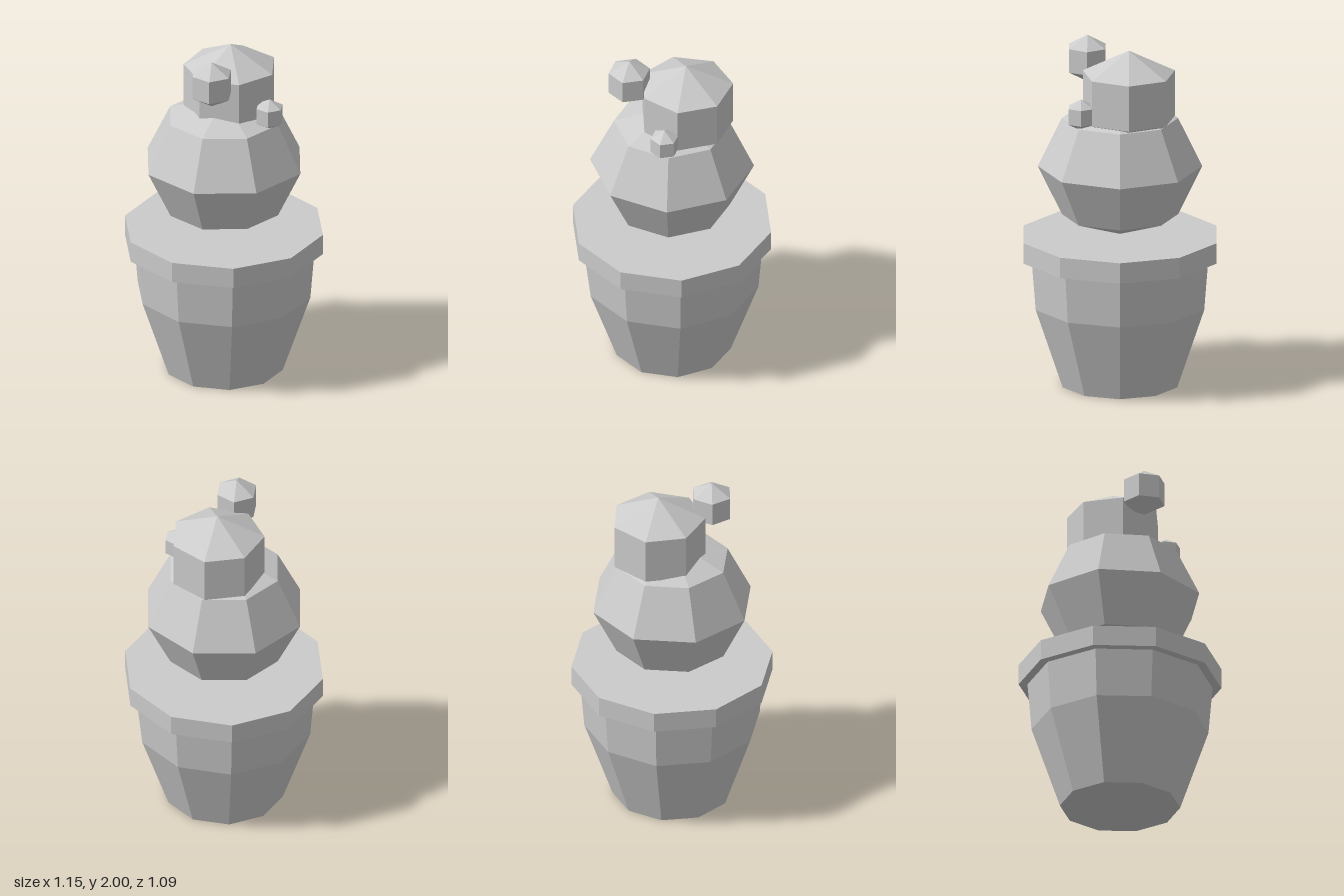
import * as THREE from 'three';

export function createModel() {
  const group = new THREE.Group();
  const material = new THREE.MeshStandardMaterial({ color: 0xcccccc, flatShading: true });

  const add = (name, geometry) => {
    const mesh = new THREE.Mesh(geometry, material);
    mesh.name = name;
    group.add(mesh);
    return mesh;
  };

  // Ten-sided turned part with a corner on the x axis; profile runs bottom to top
  const turned = (name, profile) =>
    add(name, new THREE.LatheGeometry(profile.map(([r, y]) => new THREE.Vector2(r, y)), 10, Math.PI / 2));

  // Coarse faceted ball with a corner towards +x
  const ball = (name, radius, height, sides, rings, x, y, z) => {
    const mesh = add(name, new THREE.SphereGeometry(1, sides, rings, Math.PI));
    mesh.scale.set(radius, height, radius);
    mesh.position.set(x, y, z);
  };

  // Pot: tapered body and overhanging rim, filled level with the top
  turned('potBody', [[0, 0], [0.34, 0], [0.5, 0.47], [0.523, 0.75]]);
  turned('potRim', [[0, 0.75], [0.573, 0.75], [0.573, 0.87], [0, 0.87]]);

  // Cactus: two stacked segments and two small buds
  ball('lowerSegment', 0.464, 0.4, 8, 4, 0, 1.273, 0);
  ball('upperSegment', 0.308, 0.266, 7, 3, 0.062, 1.705, -0.05);
  ball('largeBud', 0.137, 0.137, 6, 3, -0.155, 1.863, 0.185);
  ball('smallBud', 0.092, 0.092, 6, 3, 0.185, 1.628, 0.22);

  return group;
}
